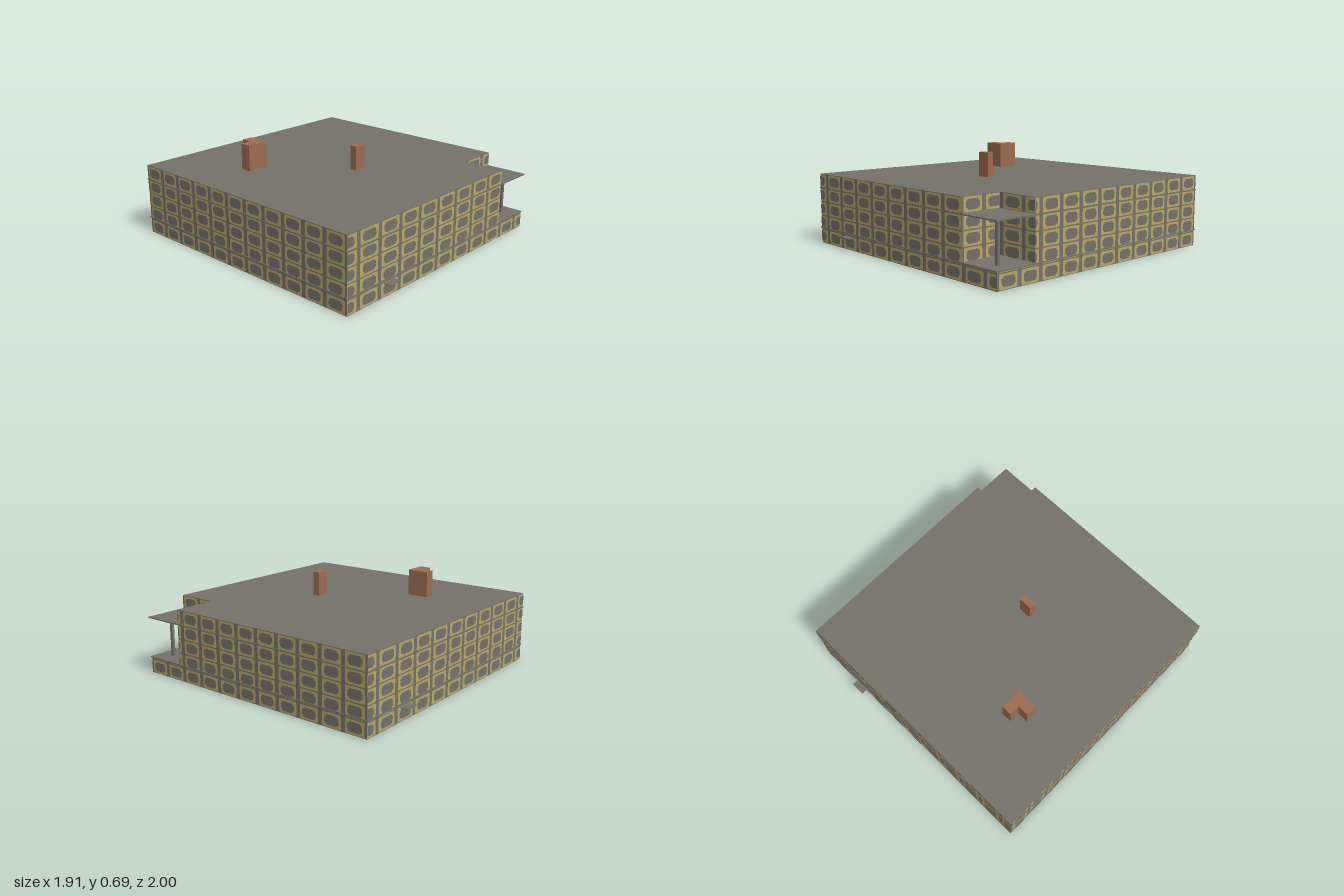
import * as THREE from 'three';

const mat = (name, color, side = THREE.FrontSide) => {
  const m = new THREE.MeshStandardMaterial({ color, side });
  m.name = name;
  return m;
};
const stone = mat('grey stone', 0x74716a, THREE.DoubleSide);
const ochre = mat('ochre panel', 0xb8a768);
const brick = mat('brick', 0x9c6b50);

const H = 0.505, FLOOR = 0.115, CANOPY = 0.402, HALF = 0.95;
const NX = 0.645, NZ = 0.65; // inner corner of the porch notch
const ROW = H / 5;

function add(parent, name, geometry, material) {
  const m = new THREE.Mesh(geometry, material);
  m.name = name;
  parent.add(m);
  return m;
}

// Box given by its limits on each axis
function box(parent, name, material, [x0, x1], [y0, y1], [z0, z1]) {
  const m = add(parent, name, new THREE.BoxGeometry(x1 - x0, y1 - y0, z1 - z0), material);
  m.position.set((x0 + x1) / 2, (y0 + y1) / 2, (z0 + z1) / 2);
  return m;
}

// Upright prism from a plan outline of [x, z] points
function prism(parent, name, material, plan, y0, y1) {
  const shape = new THREE.Shape(plan.map(([x, z]) => new THREE.Vector2(x, -z)));
  const g = new THREE.ExtrudeGeometry(shape, { depth: y1 - y0, bevelEnabled: false });
  g.rotateX(-Math.PI / 2).translate(0, y0, 0);
  return add(parent, name, g, material);
}

// Rectangle with cut corners, clipped to a region; null when nothing is left
function clippedPanel(cx, cy, w, h, cut, r) {
  const [a, b] = [w / 2, h / 2];
  const pts = [[a - cut, -b], [a, cut - b], [a, b - cut], [a - cut, b],
    [cut - a, b], [-a, b - cut], [-a, cut - b], [cut - a, -b]]
    .map(([x, y]) => new THREE.Vector2(
      THREE.MathUtils.clamp(cx + x, r.u0, r.u1),
      THREE.MathUtils.clamp(cy + y, r.y0, r.y1)));
  const keep = pts.filter((p, i) => p.distanceTo(pts[(i + 1) % 8]) > 1e-5);
  const size = new THREE.Box2().setFromPoints(keep).getSize(new THREE.Vector2());
  return keep.length > 2 && size.x > 0.002 && size.y > 0.002 ? new THREE.Shape(keep) : null;
}

// Ochre frames with grey centres laid over a wall facing the given angle
function cladding(parent, name, angle, depth, cells, regions) {
  const group = new THREE.Group();
  group.name = name;
  group.rotation.y = angle;
  const pitch = 2 * HALF / cells;
  const frames = [], centres = [];
  for (const r of regions) {
    for (let i = -6; i <= 6; i++) {
      for (let j = 0; j < 5; j++) {
        const cx = i * pitch, cy = (j + 0.5) * ROW;
        frames.push(clippedPanel(cx, cy, pitch - 0.03, ROW - 0.008, 0.006, r));
        centres.push(clippedPanel(cx, cy, pitch * 0.62, 0.064, 0.017, r));
      }
    }
  }
  const layer = (part, shapes, z, material) =>
    add(group, part, new THREE.ShapeGeometry(shapes.filter(Boolean)), material).position.z = z;
  layer('panelFrames', frames, depth + 0.0015, ochre);
  layer('panelCentres', centres, depth + 0.003, stone);
  parent.add(group);
}

export function createModel() {
  const model = new THREE.Group();
  model.name = 'building';
  const Q = Math.PI / 2;

  // Main block with the porch corner cut out
  prism(model, 'mainBlock', stone, [[-HALF, -HALF], [HALF, -HALF], [HALF, NZ],
    [NX, NZ], [NX, HALF], [-HALF, HALF]], FLOOR, H);

  // Open base skirt, patterned inside and out
  const low = { u0: -HALF, u1: HALF, y0: 0, y1: FLOOR };
  for (let k = 0; k < 4; k++) {
    const cells = k % 2 ? 11 : 10;
    const skirt = add(model, 'baseWall', new THREE.PlaneGeometry(2 * HALF, FLOOR)
      .translate(0, FLOOR / 2, HALF), stone);
    skirt.rotation.y = k * Q;
    cladding(model, 'baseInside', k * Q + Math.PI, -HALF, cells, [low]);
  }

  // Outer walls and the two porch walls
  const high = (u0, u1) => ({ u0, u1, y0: FLOOR, y1: H });
  cladding(model, 'frontWall', 0, HALF, 10, [low, high(-HALF, NX)]);
  cladding(model, 'leftWall', Q, HALF, 11, [low, high(-NZ, HALF)]);
  cladding(model, 'backWall', 2 * Q, HALF, 10, [low, high(-HALF, HALF)]);
  cladding(model, 'rightWall', -Q, HALF, 11, [low, high(-HALF, HALF)]);
  cladding(model, 'porchBackWall', 0, NZ, 10, [high(NX, HALF)]);
  cladding(model, 'porchSideWall', Q, NX, 11, [high(-HALF, -NZ)]);

  // Floor and canopy slabs that show as ledges all round
  const edge = [-0.956, 0.956];
  box(model, 'floorSlab', stone, edge, [FLOOR - 0.005, FLOOR + 0.003], edge);
  box(model, 'canopySlab', stone, edge, [CANOPY - 0.004, CANOPY + 0.004], edge);
  box(model, 'porchColumn', stone, [0.832, 0.852], [FLOOR, CANOPY], [0.837, 0.857]);

  // Door canopies, front and back
  box(model, 'frontDoorCanopy', stone, [-0.62, -0.52], [0.088, 0.094], [HALF, 1]);
  box(model, 'backDoorCanopy', stone, [0.52, 0.62], [0.088, 0.094], [-1, -HALF]);

  // Chimneys
  prism(model, 'cornerChimney', brick, [[-0.555, -0.39], [-0.475, -0.39], [-0.475, -0.465],
    [-0.4, -0.465], [-0.4, -0.31], [-0.555, -0.31]], H, 0.687);
  box(model, 'smallChimney', brick, [-0.048, 0.045], [H, 0.676], [0.165, 0.215]);

  return model;
}
